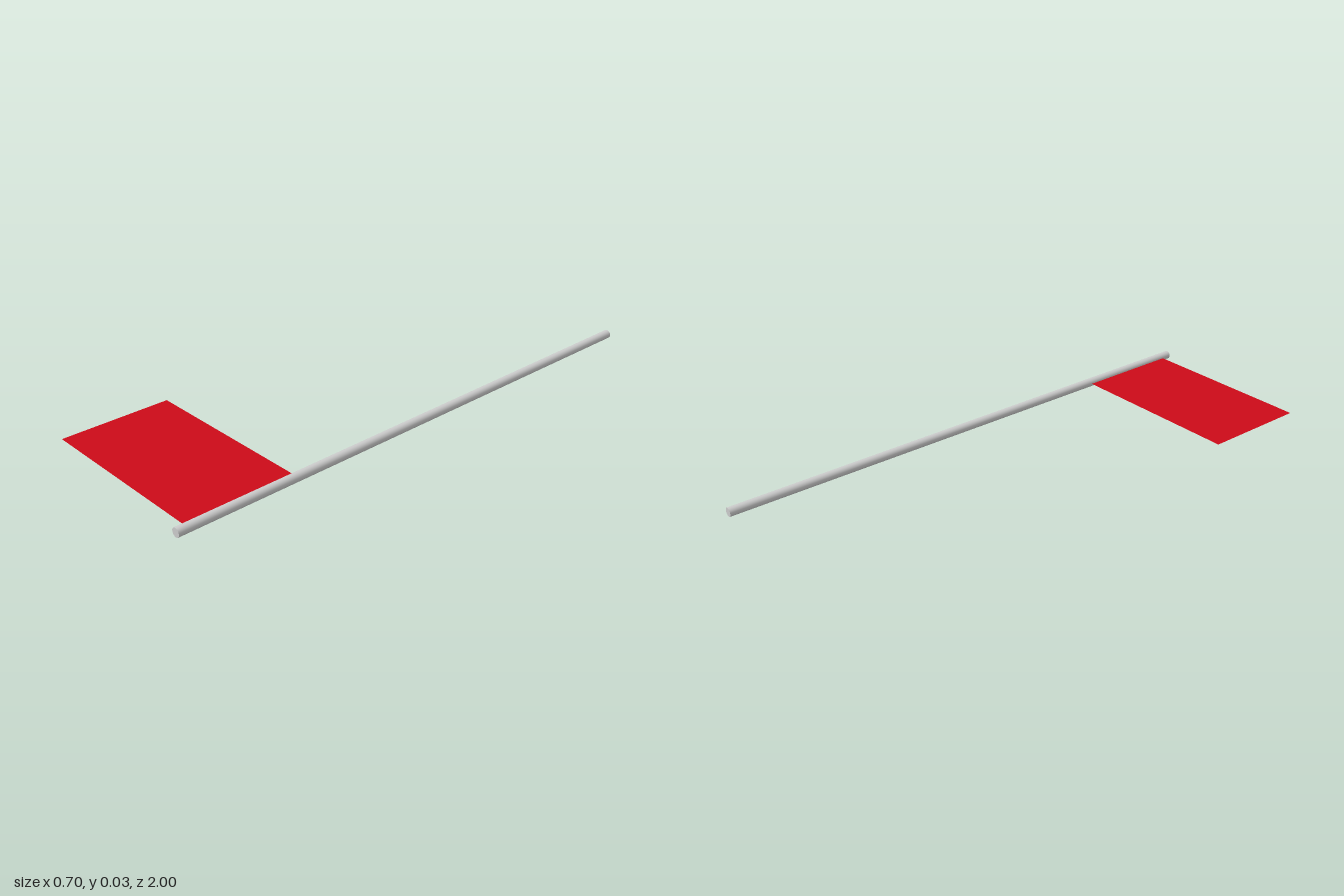
import * as THREE from 'three';

export function createModel() {
  const model = new THREE.Group();
  model.name = 'flag';
  const radius = 0.016;
  const poleX = 0.336;

  // Round pole lying along z
  const pole = new THREE.Mesh(
    new THREE.CylinderGeometry(radius, radius, 2, 32),
    new THREE.MeshStandardMaterial({ color: 0xcccccc })
  );
  pole.name = 'pole';
  pole.rotation.x = Math.PI / 2;
  pole.position.set(poleX, radius, 0);
  model.add(pole);

  // Flat cloth, attached to the pole near its front end
  const left = -0.352;
  const right = poleX - radius + 0.002;
  const cloth = new THREE.Mesh(
    new THREE.PlaneGeometry(right - left, 0.4),
    new THREE.MeshStandardMaterial({ color: 0xcc0a18, side: THREE.DoubleSide })
  );
  cloth.name = 'cloth';
  cloth.rotation.x = -Math.PI / 2;
  cloth.position.set((left + right) / 2, radius, 0.76);
  model.add(cloth);

  return model;
}
